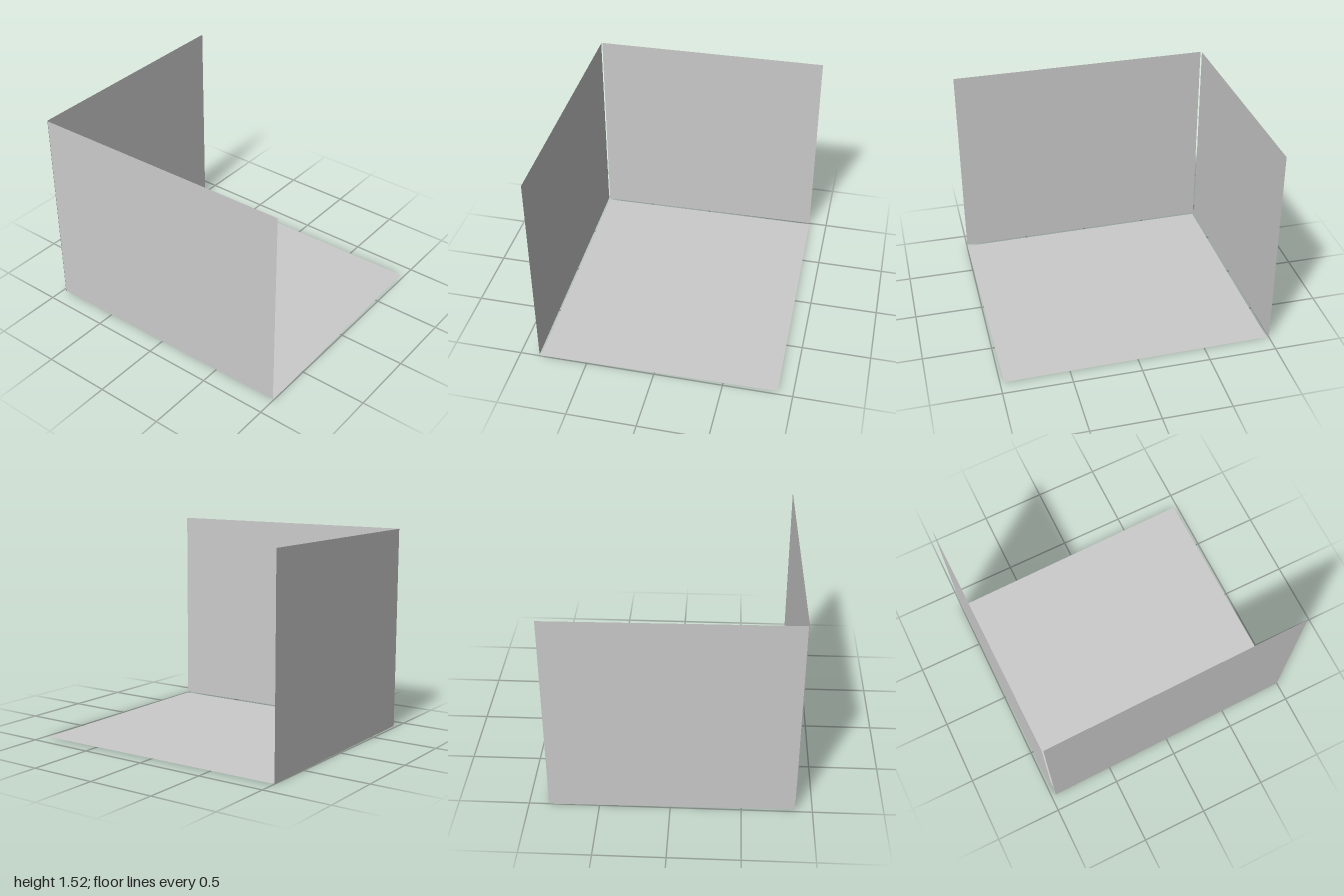
import * as THREE from 'three';

const WIDTH = 1.955, DEPTH = 1.738, TOP = 1.52;

export function createModel() {
  const model = new THREE.Group();
  model.name = 'cornerBooth';
  const material = new THREE.MeshStandardMaterial({ color: 0xcccccc, side: THREE.DoubleSide });

  // The whole assembly is turned very slightly about the vertical
  const panels = new THREE.Group();
  panels.name = 'panels';
  panels.position.set(0.007, 0, -0.006);
  panels.rotation.y = 0.0143;
  model.add(panels);

  // One thin flat sheet
  const addPanel = (name, width, height, position, rotation) => {
    const panel = new THREE.Mesh(new THREE.PlaneGeometry(width, height), material);
    panel.name = name;
    panel.position.set(...position);
    panel.rotation.set(...rotation);
    panels.add(panel);
  };

  addPanel('floor', WIDTH, DEPTH, [0, 0.002, 0], [-Math.PI / 2, 0, 0]);

  // Front wall hangs just clear of the floor
  const gap = 0.01;
  addPanel('frontWall', 1.963, TOP - gap, [-0.004, (TOP + gap) / 2, 0.877], [0, 0, 0]);

  // Side wall stands just outside the floor's right edge
  addPanel('rightWall', DEPTH, TOP, [-0.995, TOP / 2, 0.002], [0, -Math.PI / 2, 0]);

  return model;
}
